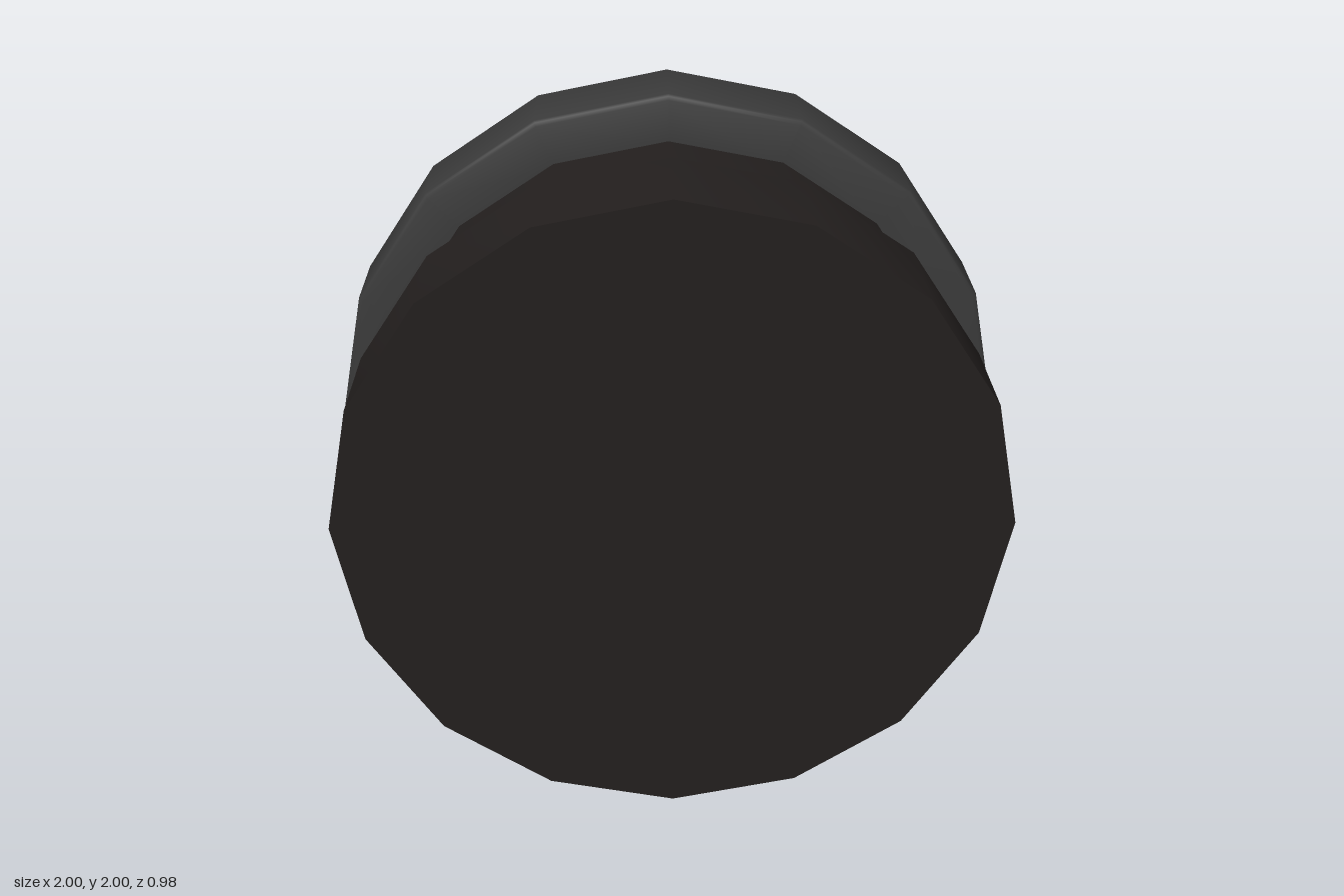
import * as THREE from 'three';
import { toCreasedNormals } from 'three/addons/utils/BufferGeometryUtils.js';

const SIDES = 16;

// Turned part: profile of [radius, z] pairs from back to front, axis along z
function turned(name, profile, color, crease = 0.6) {
  const points = profile.map(([r, z]) => new THREE.Vector2(r, z));
  const geometry = toCreasedNormals(new THREE.LatheGeometry(points, SIDES).rotateX(Math.PI / 2), crease);
  const mesh = new THREE.Mesh(geometry, new THREE.MeshStandardMaterial({ color }));
  mesh.name = name;
  mesh.position.y = 1;
  return mesh;
}

export function createModel() {
  const group = new THREE.Group();
  group.name = 'steppedKnob';

  // Narrow neck widening into the front drum, closed by a flat front
  group.add(turned('drum', [
    [0.865, -0.48], [0.865, 0.16], [0.94, 0.16], [0.94, 0.49], [0, 0.49],
  ], 0x231f1e));

  // Rear rim with softly rounded outer edges
  const b = 0.015, s = b * Math.SQRT1_2;
  group.add(turned('rim', [
    [0.86, -0.49], [1 - b, -0.49], [1 - b + s, -0.475 - s], [1, -0.475],
    [1, -0.225], [1 - b + s, -0.225 + s], [1 - b, -0.21], [0.86, -0.21],
  ], 0x3a3a3a, 0.85));

  // Black disc filling the rim at the back
  const disc = new THREE.Mesh(
    new THREE.CircleGeometry(0.87, SIDES).rotateY(Math.PI),
    new THREE.MeshStandardMaterial({ color: 0x0a0a0a }),
  );
  disc.name = 'backDisc';
  disc.position.set(0, 1, -0.492);
  group.add(disc);

  return group;
}
